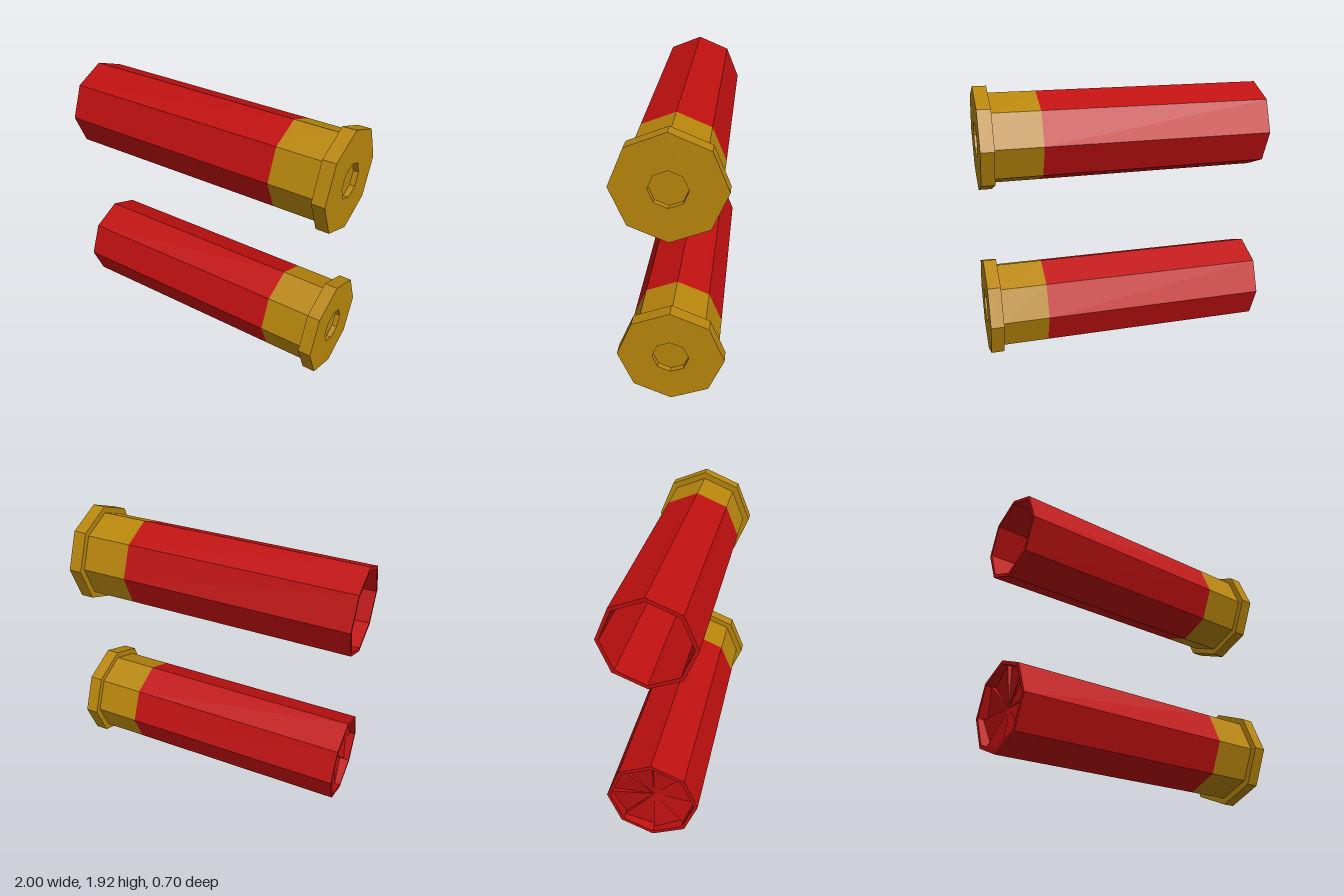
import * as THREE from 'three';

const red = new THREE.MeshStandardMaterial({ color: 0xc01010, flatShading: true, side: THREE.DoubleSide });
red.name = 'red hull';
const brass = new THREE.MeshStandardMaterial({ color: 0xb8860b, flatShading: true });
brass.name = 'brass';

// Eight-sided turned part; points are [radius, position along x]
function turned(name, points, material) {
  const geometry = new THREE.LatheGeometry(points.map(([r, x]) => new THREE.Vector2(r, x)), 8);
  geometry.rotateZ(-Math.PI / 2);
  const mesh = new THREE.Mesh(geometry, material);
  mesh.name = name;
  return mesh;
}

// Pleated star that closes the mouth: eight tilted petals with a step between them
function crimp(radius, x, step) {
  const at = (i, dx) => {
    const a = (i * Math.PI) / 4;
    return [x + dx, radius * Math.cos(a), radius * Math.sin(a)];
  };
  const centre = [x, 0, 0];
  const positions = [];
  for (let i = 0; i < 8; i++) {
    positions.push(...centre, ...at(i + 1, -step), ...at(i, 0));
    positions.push(...centre, ...at(i + 1, 0), ...at(i + 1, -step));
  }
  const geometry = new THREE.BufferGeometry();
  geometry.setAttribute('position', new THREE.Float32BufferAttribute(positions, 3));
  geometry.computeVertexNormals();
  const mesh = new THREE.Mesh(geometry, red);
  mesh.name = 'crimpedMouth';
  return mesh;
}

function shell(name, crimped) {
  const group = new THREE.Group();
  group.name = name;
  // Hollow tube, open at -x
  group.add(turned('hull', [
    [0, 0.55], [0.28, 0.55], [0.28, -1], [0.305, -1], [0.305, 0.577],
  ], red));
  // Brass head with rim and recessed primer pocket
  group.add(turned('brassHead', [
    [0.305, 0.577], [0.305, 0.895], [0.35, 0.895], [0.35, 0.985],
    [0.12, 0.985], [0.12, 0.95], [0, 0.95],
  ], brass));
  if (crimped) group.add(crimp(0.28, -0.93, 0.03));
  group.rotation.z = 0.0075;
  return group;
}

export function createModel() {
  const model = new THREE.Group();
  model.name = 'shellPair';
  const upper = shell('openShell', false);
  upper.position.set(0, 1.5675, 0);
  const lower = shell('crimpedShell', true);
  lower.position.set(0.012, 0.344, 0);
  model.add(upper, lower);
  return model;
}
